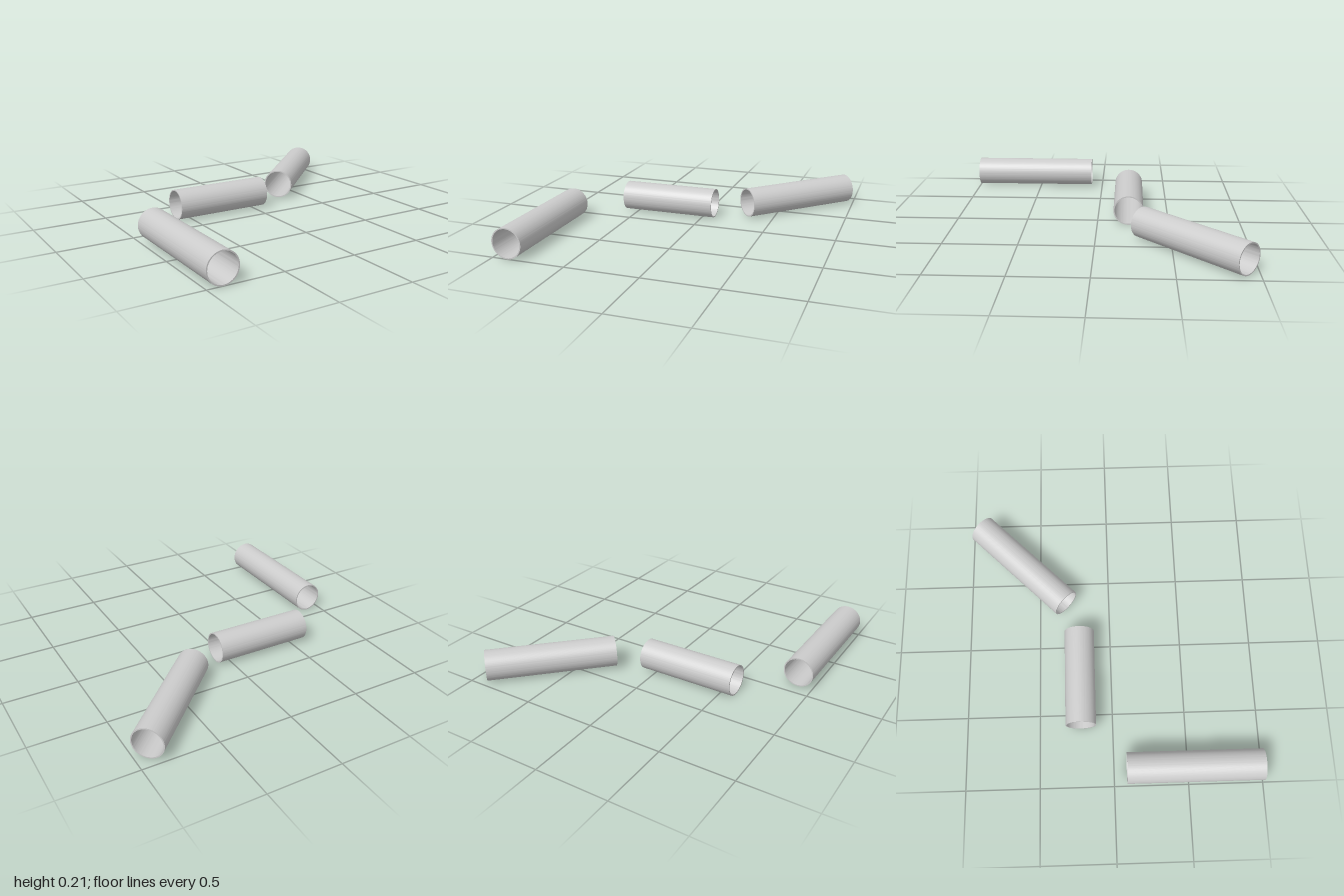
import * as THREE from 'three';
import { toCreasedNormals } from 'three/addons/utils/BufferGeometryUtils.js';

const OUTER = 0.104;
const INNER = 0.096;

// Hollow pipe lying on the ground between two [x, z] end centres
function pipe(name, from, to, material) {
  const start = new THREE.Vector3(from[0], OUTER, from[1]);
  const end = new THREE.Vector3(to[0], OUTER, to[1]);

  const ring = new THREE.Shape().absarc(0, 0, OUTER, 0, Math.PI * 2);
  ring.holes.push(new THREE.Path().absarc(0, 0, INNER, 0, Math.PI * 2, true));
  const geometry = new THREE.ExtrudeGeometry(ring, {
    depth: start.distanceTo(end),
    bevelEnabled: false,
    curveSegments: 64,
  });

  const mesh = new THREE.Mesh(toCreasedNormals(geometry, 0.6), material);
  mesh.name = name;
  mesh.position.copy(start);
  mesh.lookAt(end);
  return mesh;
}

export function createModel() {
  const model = new THREE.Group();
  model.name = 'pipes';
  const grey = new THREE.MeshStandardMaterial({ color: 0xcccccc });

  model.add(
    pipe('lengthwisePipe', [-0.896, 0.086], [-0.896, 1], grey),
    pipe('crosswisePipe', [-0.595, -0.217], [0.087, -0.217], grey),
    pipe('diagonalPipe', [0.307, -0.308], [0.926, -0.926], grey),
  );
  return model;
}
